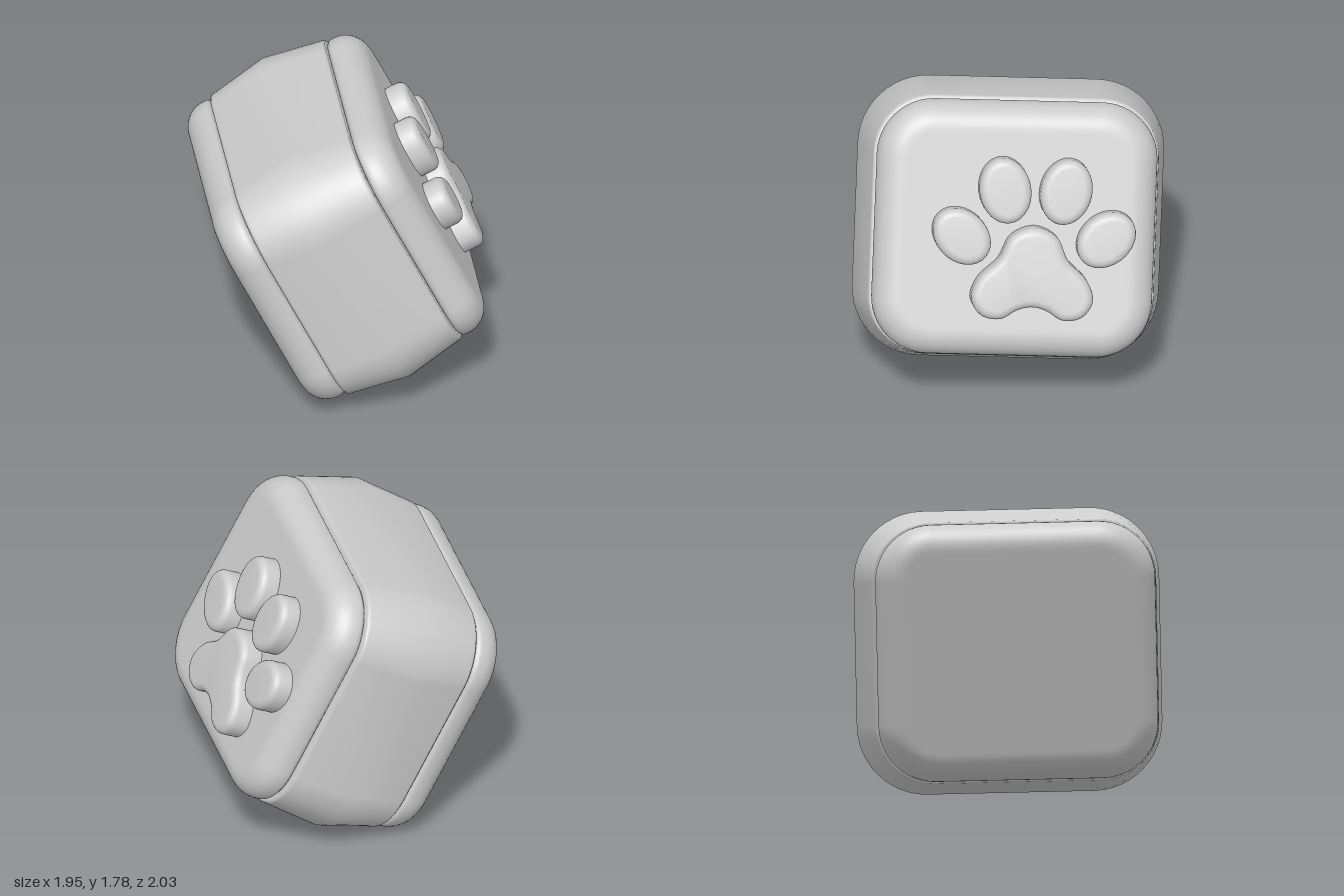
import * as THREE from 'three';
import { toCreasedNormals } from 'three/addons/utils/BufferGeometryUtils.js';

const W = 0.82, H = 0.75, R = 0.34; // half width, half height, corner radius
const SEAM = 0.37;                  // depth of each lid seam
const FACE = SEAM + 0.2;            // depth of the flat lid face

// Rounded rectangle, counter-clockwise, shrunk evenly by inset
function ring(inset, z, steps = 12) {
  const pts = [], r = R - inset;
  [[1, 1], [-1, 1], [-1, -1], [1, -1]].forEach(([sx, sy], q) => {
    for (let i = 0; i <= steps; i++) {
      const a = (q + i / steps) * Math.PI / 2;
      pts.push([sx * (W - R) + r * Math.cos(a), sy * (H - R) + r * Math.sin(a), z]);
    }
  });
  return pts;
}

// Skin through rings given as [inset, depth], optionally closed at the end
function loft(profile, capped) {
  const rings = profile.map(([inset, z]) => ring(inset, z));
  const n = rings[0].length, pos = rings.flat(2), index = [];
  for (let k = 0; k < rings.length - 1; k++) {
    for (let i = 0; i < n; i++) {
      const j = (i + 1) % n, a = k * n, b = a + n;
      index.push(a + i, a + j, b + j, a + i, b + j, b + i);
    }
  }
  if (capped) {
    const c = pos.length / 3, last = (rings.length - 1) * n;
    pos.push(0, 0, profile[profile.length - 1][1]);
    for (let i = 0; i < n; i++) index.push(last + i, last + (i + 1) % n, c);
  }
  const g = new THREE.BufferGeometry();
  g.setAttribute('position', new THREE.Float32BufferAttribute(pos, 3));
  g.setIndex(index);
  g.computeVertexNormals();
  return g;
}

// Raised pad with softened top edge, standing on the lid face
function padGeometry(shape, height) {
  const bevel = 0.045;
  const g = new THREE.ExtrudeGeometry(shape, {
    depth: height, curveSegments: 20, bevelEnabled: true, bevelSize: bevel,
    bevelThickness: bevel, bevelOffset: -bevel, bevelSegments: 5,
  });
  g.translate(0, 0, FACE - bevel);
  return toCreasedNormals(g, 0.7);
}

export function createModel() {
  const grey = new THREE.MeshStandardMaterial({ color: 0xcccccc });
  grey.name = 'plain grey';
  const block = new THREE.Group();
  block.name = 'pawBlock';
  const add = (name, geometry, parent = block) => {
    const m = new THREE.Mesh(geometry, grey);
    m.name = name;
    parent.add(m);
    return m;
  };

  // Body: walls swell gently to the middle
  add('body', loft([
    [0.07, -SEAM], [0.014, -SEAM + 0.003], [0.003, -SEAM + 0.012], [0, -SEAM + 0.025],
    [-0.06, 0],
    [0, SEAM - 0.025], [0.003, SEAM - 0.012], [0.014, SEAM - 0.003], [0.07, SEAM],
  ], false));

  // Lids: short wall, round shoulder, flat face
  const lidProfile = [[0.07, SEAM - 0.002], [0.032, SEAM + 0.004], [0.018, SEAM + 0.02], [0.015, SEAM + 0.035]];
  const e = 0.15;
  for (let i = 0; i <= 10; i++) {
    const a = i / 10 * Math.PI / 2;
    lidProfile.push([0.015 + e * (1 - Math.cos(a)), FACE - e + e * Math.sin(a)]);
  }
  lidProfile.push([0.19, FACE]);
  const lid = loft(lidProfile, true);
  add('frontLid', lid);
  add('backLid', lid).rotation.y = Math.PI;

  // Paw print
  const paw = new THREE.Group();
  paw.name = 'pawPrint';
  paw.position.x = 0.095;
  block.add(paw);

  const half = [[0.13, -0.015], [0.2, -0.15], [0.31, -0.26], [0.35, -0.38],
    [0.29, -0.475], [0.18, -0.495], [0.08, -0.44]];
  const outline = [[0, 0.04], ...half, [0, -0.422], ...half.map(([x, y]) => [-x, y]).reverse()];
  const curve = new THREE.CatmullRomCurve3(outline.map(([x, y]) => new THREE.Vector3(x, y, 0)), true);
  const palm = new THREE.Shape(curve.getPoints(96).slice(0, -1).map(p => new THREE.Vector2(p.x, p.y)).reverse());
  add('palmPad', padGeometry(palm, 0.13), paw);

  for (const s of [-1, 1]) {
    const side = s < 0 ? 'left' : 'right';
    for (const [name, x, y, rx, ry, turn] of [
      ['InnerToe', 0.175, 0.245, 0.148, 0.19, 0.2],
      ['OuterToe', 0.415, -0.025, 0.145, 0.183, 0.85],
    ]) {
      const toe = new THREE.Shape();
      toe.absellipse(s * x, y, rx, ry, 0, Math.PI * 2, false, -s * turn);
      add(side + name, padGeometry(toe, 0.12), paw);
    }
  }

  // Tilted resting pose
  const u = new THREE.Vector3(0.525, -0.072, -0.848).normalize();
  const n = u.clone().cross(new THREE.Vector3(-0.334, 0.903, -0.27)).normalize();
  const v = n.clone().cross(u);
  block.quaternion.setFromRotationMatrix(new THREE.Matrix4().makeBasis(u, v, n));
  block.position.y = 0.885;

  const model = new THREE.Group();
  model.name = 'model';
  model.add(block);
  return model;
}
